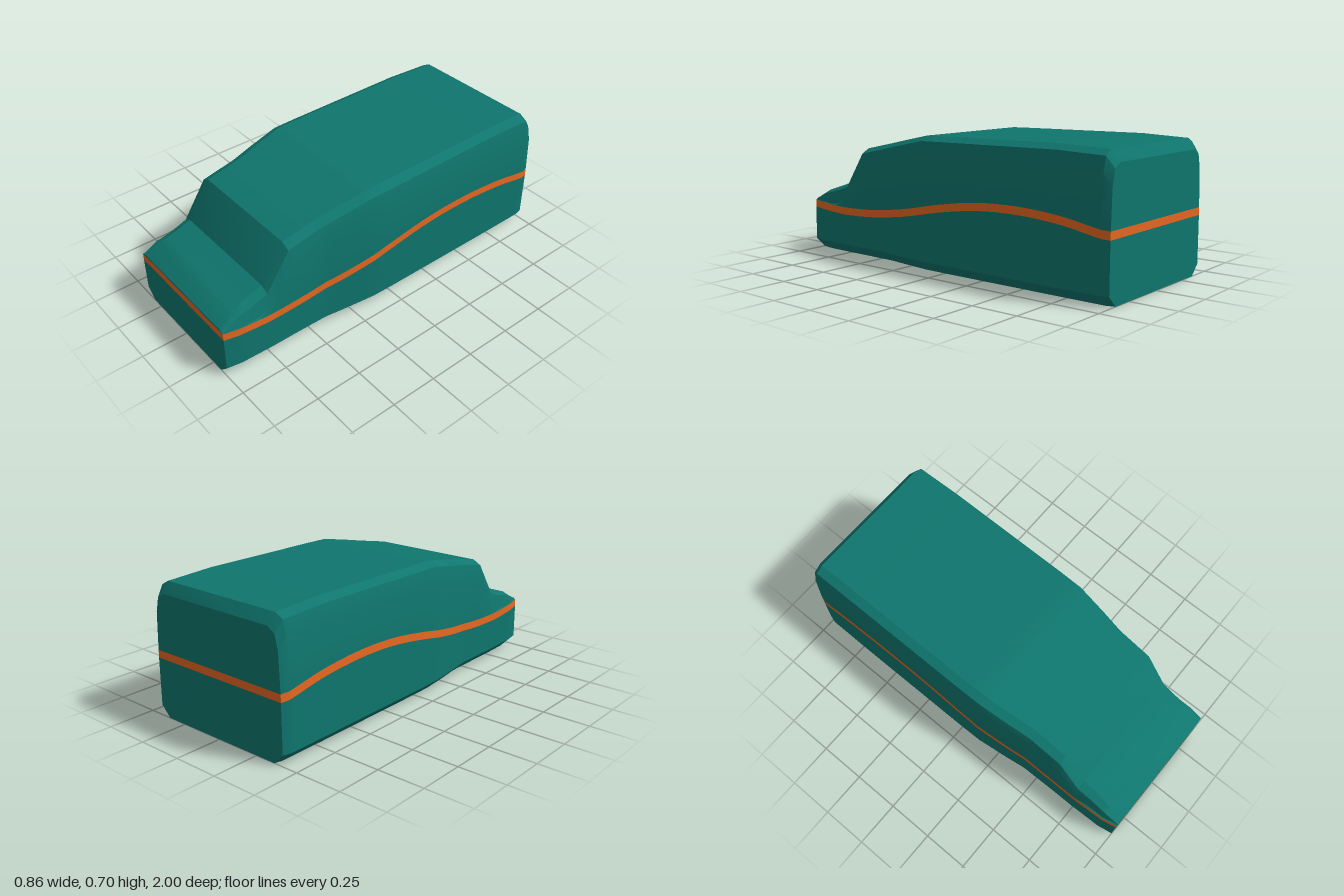
import * as THREE from 'three';
import { toCreasedNormals } from 'three/addons/utils/BufferGeometryUtils.js';

const V = (x, y) => new THREE.Vector2(x, y);

// Stations along the hull: z, half width, roof height
const KEYS = [
  [1, 0.37, 0.29], [0.92, 0.384, 0.34], [0.74, 0.39, 0.4], [0.61, 0.39, 0.595],
  [0.42, 0.393, 0.635], [0.3, 0.41, 0.66], [0.13, 0.43, 0.694], [0, 0.432, 0.696],
  [-0.7, 0.432, 0.704], [-0.96, 0.43, 0.694], [-1, 0.418, 0.64],
];

// Height of the stripe's centre line, evenly spaced from nose to tail
const stripeLine = new THREE.SplineCurve(
  [0.26, 0.245, 0.255, 0.29, 0.34, 0.376, 0.384, 0.366, 0.325].map((y, i) => V(1 - i * 0.25, y)));

function sample(z) {
  const i = Math.max(1, KEYS.findIndex((k) => k[0] <= z));
  const a = KEYS[i - 1], b = KEYS[i];
  const t = (a[0] - z) / (a[0] - b[0]);
  return [a[1] + (b[1] - a[1]) * t, a[2] + (b[2] - a[2]) * t];
}

// Closed cross-section: right-hand rule about +z, starting at the lower +x corner
function section(z) {
  const [w, h] = sample(z);
  const mid = stripeLine.getPoint((1 - z) / 2).y;
  const drop = Math.min(0.1, h - mid - 0.02);
  const k = Math.min(1, 0.4 + drop * 6);
  const half = [
    [w - 0.055, 0], [w, 0.055], [w - 0.001, mid - 0.02], [w - 0.002, mid + 0.02],
    [w - 0.01 * k, h - drop], [w - 0.028 * k, h - drop * 0.25], [w - 0.073 * k, h],
  ];
  return [...half, ...half.map(([x, y]) => [-x, y]).reverse()].map(([x, y]) => [x, y, z]);
}

export function createModel() {
  const bodyPaint = new THREE.MeshStandardMaterial({ color: 0x0f766e });
  bodyPaint.name = 'tealPaint';
  const stripePaint = new THREE.MeshStandardMaterial({ color: 0xf56e24 });
  stripePaint.name = 'orangePaint';

  const body = [], stripe = [];
  const quad = (list, a, b, c, d) => list.push(...a, ...b, ...c, ...a, ...c, ...d);

  // Sections at the key stations plus an even spread for the curved stripe
  const zs = KEYS.map((k) => k[0]);
  for (let i = 1; i < 32; i++) {
    const z = 1 - i / 16;
    if (zs.every((q) => Math.abs(q - z) > 0.018)) zs.push(z);
  }
  const rings = zs.sort((a, b) => b - a).map(section);
  const n = rings[0].length;

  // Skin between neighbouring sections; sides 2 and n - 4 carry the stripe
  for (let s = 0; s < rings.length - 1; s++) {
    const f = rings[s], r = rings[s + 1];
    for (let i = 0; i < n; i++) {
      const j = (i + 1) % n;
      quad(i === 2 || i === n - 4 ? stripe : body, f[i], r[i], r[j], f[j]);
    }
  }

  // Flat nose and tail, built in rows so the stripe runs across
  const nose = rings[0], tail = rings[rings.length - 1];
  for (let i = 0; i < n / 2 - 1; i++) {
    const list = i === 2 ? stripe : body;
    quad(list, nose[i], nose[i + 1], nose[n - 2 - i], nose[n - 1 - i]);
    quad(list, tail[n - 1 - i], tail[n - 2 - i], tail[i + 1], tail[i]);
  }

  const group = new THREE.Group();
  group.name = 'vanHull';
  const add = (name, positions, material) => {
    const g = new THREE.BufferGeometry();
    g.setAttribute('position', new THREE.Float32BufferAttribute(positions, 3));
    const mesh = new THREE.Mesh(toCreasedNormals(g, 0.45), material);
    mesh.name = name;
    group.add(mesh);
  };
  add('bodyShell', body, bodyPaint);
  add('waistStripe', stripe, stripePaint);
  return group;
}
